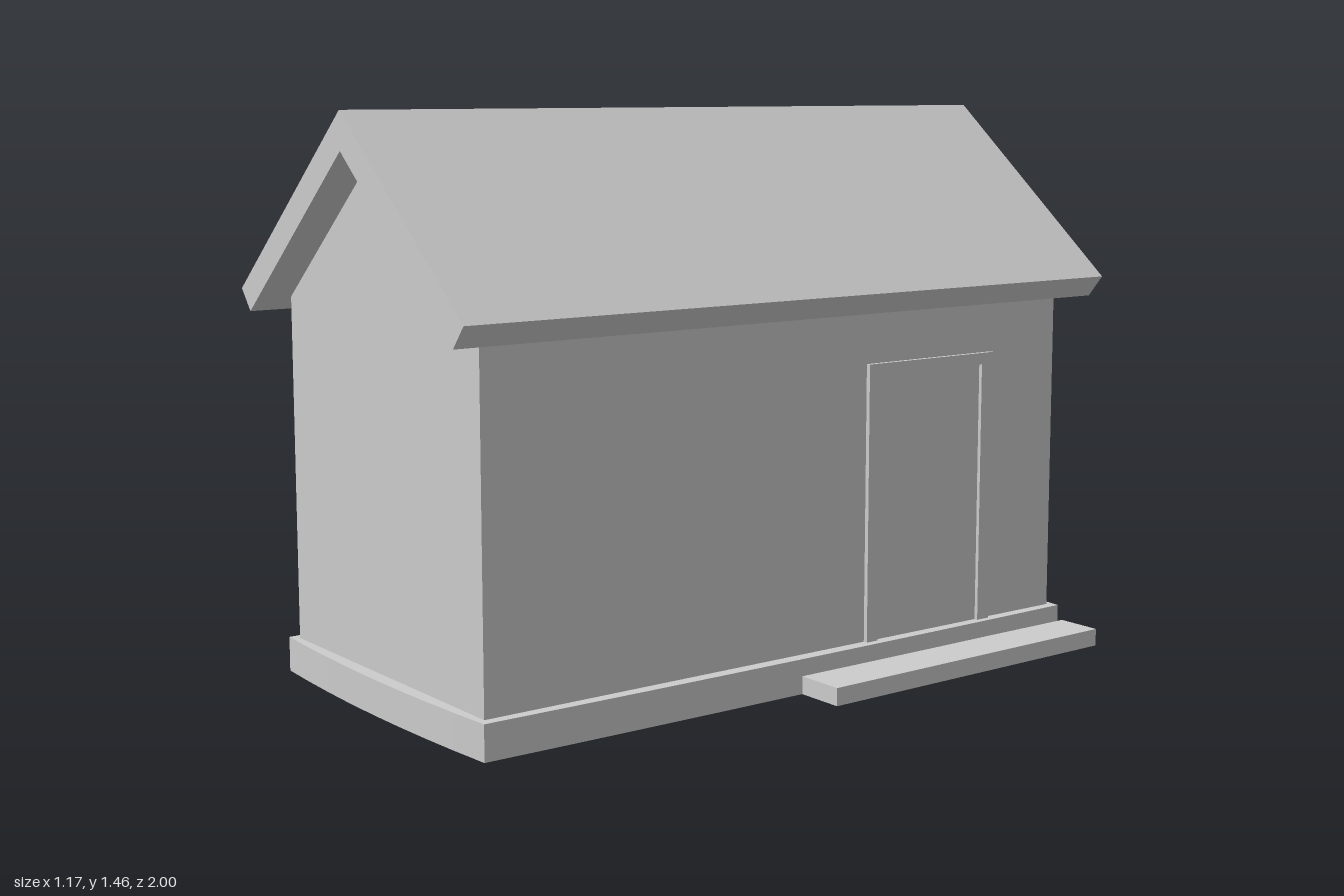
import * as THREE from 'three';

const grey = new THREE.MeshStandardMaterial({ color: 0xcccccc, side: THREE.DoubleSide });
grey.name = 'plain grey';

const shapeOf = (pts, ...holes) => {
  const s = new THREE.Shape(pts.map(p => new THREE.Vector2(...p)));
  for (const h of holes) s.holes.push(new THREE.Path(h.map(p => new THREE.Vector2(...p))));
  return s;
};
const rect = (a0, b0, a1, b1) => [[a0, b0], [a1, b0], [a1, b1], [a0, b1]];

export function createModel() {
  const model = new THREE.Group();
  model.name = 'kiosk';

  const add = (name, geometry, parent = model) => {
    const mesh = new THREE.Mesh(geometry, grey);
    mesh.name = name;
    parent.add(mesh);
    return mesh;
  };

  // Sheet or plate drawn in (z, y), standing at x and thickening towards -x
  const sidePlate = (name, shape, x, depth = 0) => {
    const g = depth
      ? new THREE.ExtrudeGeometry(shape, { depth, bevelEnabled: false })
      : new THREE.ShapeGeometry(shape);
    g.rotateY(-Math.PI / 2);
    add(name, g).position.x = x;
  };

  // Open-bottomed slab: a top sheet drawn in (x, z) and a skirt down to the ground
  const slab = (name, pts, height, ...holes) => {
    const group = new THREE.Group();
    group.name = name;
    model.add(group);
    const flip = p => p.map(([x, z]) => [x, -z]);
    const top = new THREE.ShapeGeometry(shapeOf(flip(pts), ...holes.map(flip)));
    top.rotateX(-Math.PI / 2);
    top.translate(0, height, 0);
    add(name + 'Top', top, group);
    const pos = [];
    pts.forEach(([x0, z0], i) => {
      const [x1, z1] = pts[(i + 1) % pts.length];
      pos.push(x0, 0, z0, x0, height, z0, x1, height, z1);
      pos.push(x0, 0, z0, x1, height, z1, x1, 0, z1);
    });
    const skirt = new THREE.BufferGeometry();
    skirt.setAttribute('position', new THREE.Float32BufferAttribute(pos, 3));
    skirt.computeVertexNormals();
    add(name + 'Skirt', skirt, group);
  };

  const xL = -0.493, xR = 0.417, mid = -0.038, zEnd = 0.908, floorY = 0.09, eaveY = 0.98;

  // Plinth with slightly bowed edges
  const outline = [], n = 8;
  const hx = 0.482, hz = 0.925;
  const corners = [[1, -1], [1, 1], [-1, 1], [-1, -1]];
  corners.forEach(([sx, sz], c) => {
    const [ex, ez] = corners[(c + 1) % 4];
    for (let i = 0; i < n; i++) {
      const t = i / n, bow = 4 * t * (1 - t);
      const ux = sx + (ex - sx) * t, uz = sz + (ez - sz) * t;
      const x = ux * (hx + (sx === ex ? 0.008 * bow : 0));
      const z = uz * (hz + (sz === ez ? 0.02 * bow : 0));
      outline.push([mid + x, z]);
    }
  });
  slab('plinth', outline, floorY, rect(xL, -zEnd, xR, zEnd));

  // Door step
  slab('doorStep', [[0.447, -0.94], [0.572, -0.94], [0.578, -0.5], [0.585, 0], [0.449, 0]], 0.046);

  // Gable walls
  const gable = shapeOf([[xL, floorY], [xR, floorY], [xR, eaveY], [mid, 1.358], [xL, eaveY]]);
  for (const [name, s] of [['frontWall', 1], ['backWall', -1]])
    add(name, new THREE.ShapeGeometry(gable)).position.z = s * zEnd;

  // Long walls; the one at -x has the window opening
  const wall = rect(-zEnd, floorY, zEnd, eaveY);
  const windowIn = rect(0.185, 0.505, 0.735, 0.865);
  sidePlate('doorWall', shapeOf(wall), xR);
  sidePlate('windowWall', shapeOf(wall, windowIn), xL);

  // Window: raised frame, pane with a serving hatch cut through, sill
  sidePlate('windowFrame', shapeOf(rect(0.155, 0.478, 0.765, 0.89), windowIn), xL, 0.012);
  sidePlate('windowPane', shapeOf(windowIn, rect(0.345, 0.506, 0.55, 0.62)), xL + 0.002);
  add('windowSill', new THREE.BoxGeometry(0.097, 0.022, 0.572)).position.set(-0.5405, 0.44, 0.455);

  // Flat notice panel beside the window
  sidePlate('wallPanel', shapeOf(rect(-0.41, 0.455, -0.03, 0.83)), xL, 0.005);

  // Door frame and door leaf
  sidePlate('doorFrame', shapeOf([
    [-0.67, floorY], [-0.63, floorY], [-0.63, 0.782], [-0.272, 0.782],
    [-0.272, floorY], [-0.235, floorY], [-0.235, 0.812], [-0.67, 0.812],
  ]), xR + 0.012, 0.012);
  sidePlate('door', shapeOf(rect(-0.63, floorY, -0.272, 0.782)), xR + 0.002);

  // Pitched roof
  const roof = shapeOf([
    [-0.583, 1.0], [-0.537, 0.945], [mid, 1.36], [0.46, 0.945], [0.506, 1.0], [mid, 1.455],
  ]);
  add('roof', new THREE.ExtrudeGeometry(roof, { depth: 2, bevelEnabled: false })).position.z = -1;

  return model;
}
